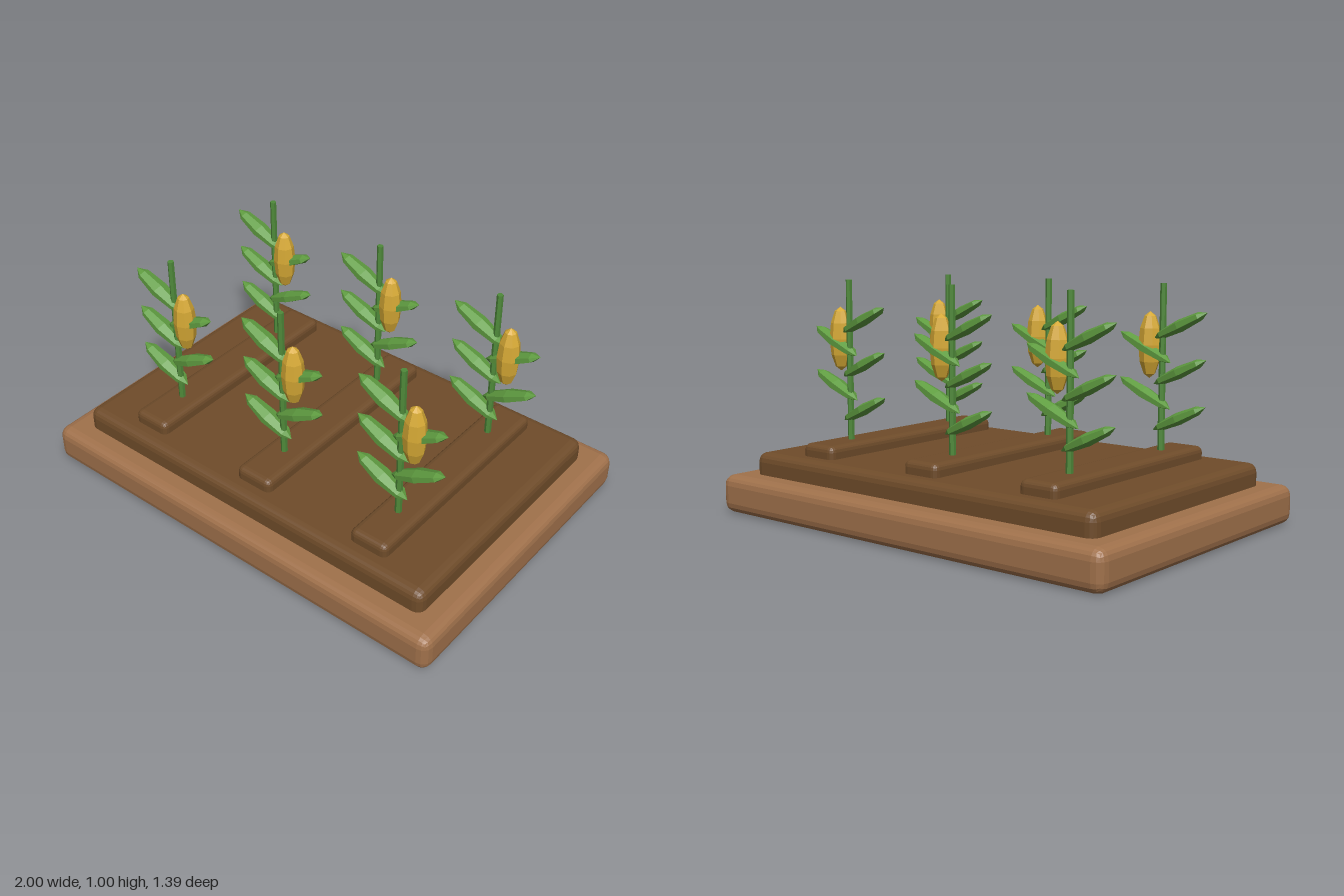
import * as THREE from 'three';
import { RoundedBoxGeometry } from 'three/addons/geometries/RoundedBoxGeometry.js';

const material = (name, color) => {
  const m = new THREE.MeshStandardMaterial({ color, flatShading: true });
  m.name = name;
  return m;
};

export function createModel() {
  const wood = material('wood brown', 0xa0714b);
  const soil = material('soil brown', 0x6f4c2a);
  const stalkGreen = material('stalk green', 0x4f8a3a);
  const leafGreen = material('leaf green', 0x5f9c40);
  const yellow = material('corn yellow', 0xd6a935);

  const model = new THREE.Group();
  model.name = 'cornBed';

  const add = (parent, name, geometry, mat, x, y, z) => {
    const mesh = new THREE.Mesh(geometry, mat);
    mesh.name = name;
    mesh.position.set(x, y, z);
    parent.add(mesh);
    return mesh;
  };

  // Rounded slab spanning y0 to y1
  const slab = (name, w, d, y0, y1, r, mat, x = 0) =>
    add(model, name, new RoundedBoxGeometry(w, y1 - y0, d, 2, r), mat, x, (y0 + y1) / 2, 0);

  slab('base', 2, 1.39, 0, 0.165, 0.045, wood);
  slab('soilBed', 1.79, 1.18, 0.09, 0.26, 0.04, soil);

  // Faceted leaf, long axis along x, and an upright cob
  const leafGeometry = new THREE.SphereGeometry(1, 6, 4)
    .rotateZ(Math.PI / 2).scale(0.137, 0.026, 0.042);
  const cobGeometry = new THREE.SphereGeometry(1, 8, 6).scale(0.049, 0.138, 0.047);
  const stalkGeometry = new THREE.CylinderGeometry(0.0135, 0.0145, 0.72, 6);

  // Leaves alternate sides up the stalk, tips pointing up and outwards
  const leaves = [[-1, 0.453], [1, 0.545], [-1, 0.643], [1, 0.735], [-1, 0.832]];

  for (const x of [-0.585, 0, 0.585]) {
    slab('soilRidge', 0.175, 1.03, 0.22, 0.315, 0.026, soil, x);
    for (const z of [-0.315, 0.315]) {
      const plant = new THREE.Group();
      plant.name = 'cornPlant';
      plant.position.set(x, 0, z);
      model.add(plant);
      add(plant, 'stalk', stalkGeometry, stalkGreen, 0, 0.64, 0);
      for (const [side, y] of leaves) {
        const leaf = add(plant, 'leaf', leafGeometry, leafGreen, side * 0.083, y, 0);
        leaf.rotation.z = side * 0.44;
      }
      add(plant, 'cob', cobGeometry, yellow, 0.072, 0.744, 0.016);
    }
  }
  return model;
}
